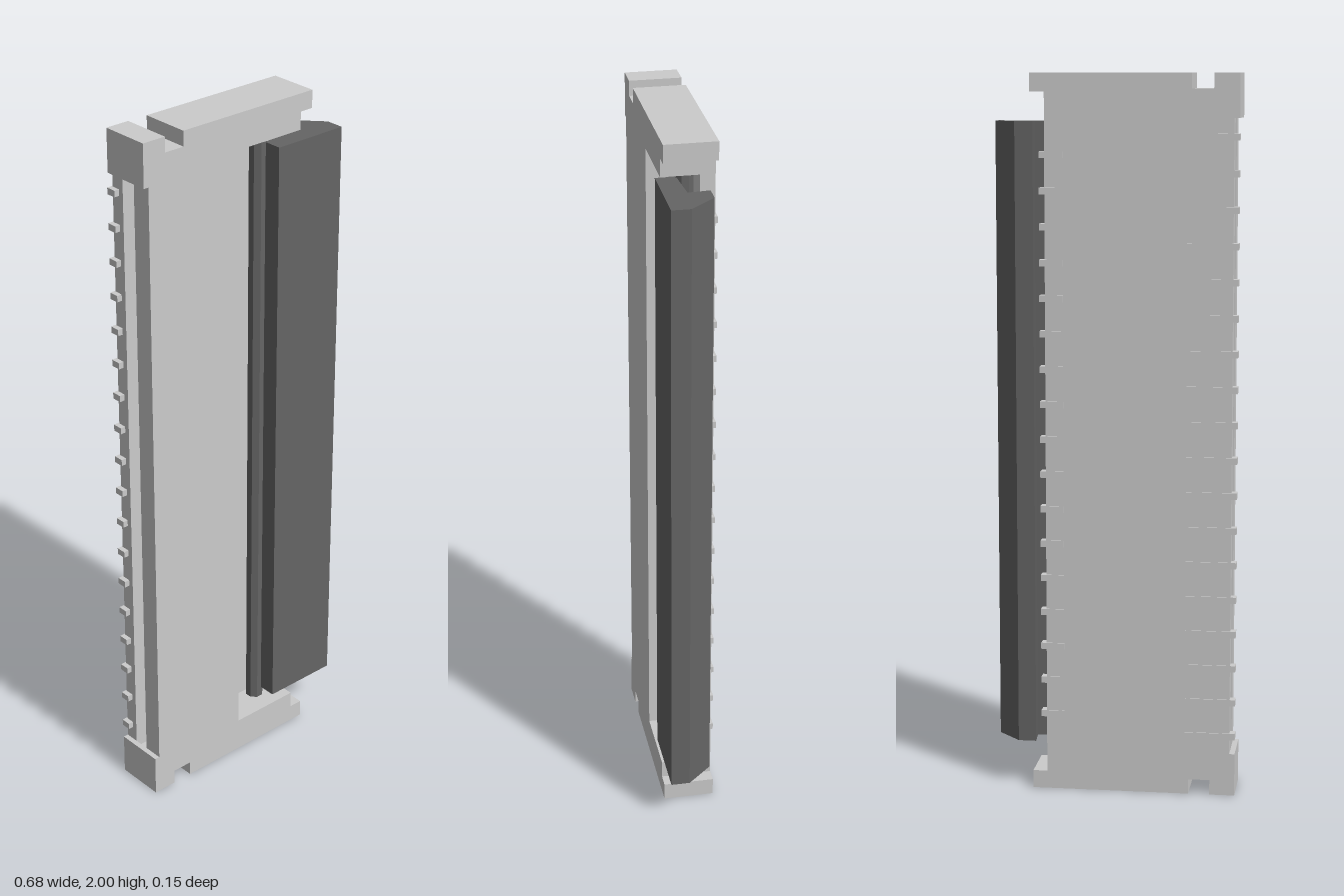
import * as THREE from 'three';

const BACK = -0.07, FRONT = 0.0725;
const PITCH = 0.0976;

export function createModel() {
  const model = new THREE.Group();
  const grey = new THREE.MeshStandardMaterial({ color: 0xcccccc, flatShading: true });
  const dark = new THREE.MeshStandardMaterial({ color: 0x656565, flatShading: true });

  const add = (name, geometry, material = grey, parent = model) => {
    const mesh = new THREE.Mesh(geometry, material);
    mesh.name = name;
    parent.add(mesh);
    return mesh;
  };
  // Box given by its two corners
  const box = (x0, x1, y0, y1, z0, z1) =>
    new THREE.BoxGeometry(x1 - x0, y1 - y0, z1 - z0)
      .translate((x0 + x1) / 2, (y0 + y1) / 2, (z0 + z1) / 2);
  const prism = (points, depth) =>
    new THREE.ExtrudeGeometry(new THREE.Shape(points.map(p => new THREE.Vector2(...p))),
      { depth, bevelEnabled: false });

  // Housing: back plate and front lip with an open slot between them
  add('backPlate', box(-0.325, 0.19, 0.1, 1.9, BACK, -0.03));
  add('frontLip', box(-0.325, -0.02, 0.1, 1.9, 0.015, FRONT));

  // Notched end blocks, the upper one mirrored from the lower
  const endOutline = [
    [-0.34, 0], [-0.27, 0], [-0.27, 0.042], [-0.21, 0.042], [-0.21, 0], [0.23, 0],
    [0.23, 0.05], [0.19, 0.05], [0.19, 0.1], [-0.325, 0.1], [-0.325, 0.12], [-0.34, 0.12],
  ];
  for (const [name, flip] of [['lowerEndBlock', false], ['upperEndBlock', true]]) {
    const points = endOutline.map(([x, y]) => [x, flip ? 2 - y : y]);
    add(name, prism(points, FRONT - BACK).translate(0, 0, BACK));
  }

  // Two staggered rows of contacts in the back plate
  const contacts = new THREE.Group();
  contacts.name = 'contacts';
  model.add(contacts);
  const row = (name, count, x0, x1) => {
    for (let i = 0; i < count; i++) {
      const y = 1 + (i - (count - 1) / 2) * PITCH;
      add(name, box(x0, x1, y - 0.009, y + 0.009, -0.0735, -0.045), grey, contacts);
    }
  };
  row('outerContact', 18, -0.34, -0.2);
  row('innerContact', 17, 0.14, 0.205);

  // Hinged locking flap: thin arm over the plate, thick chamfered bar outside
  const flap = new THREE.Group();
  flap.name = 'lockingFlap';
  model.add(flap);
  const section = [
    [0.115, FRONT], [0.115, 0.018], [0.23, 0.01], [0.225, -0.05],
    [0.275, -0.05], [0.34, 0.02], [0.34, FRONT],
  ];
  // Drawn in x and -z, then stood upright
  add('flapBar', prism(section.map(([x, z]) => [x, -z]), 1.74)
    .rotateX(-Math.PI / 2).translate(0, 0.13, 0), dark, flap);

  // Hinge shaft between the end blocks
  add('hingeShaft', new THREE.CylinderGeometry(0.026, 0.026, 1.8, 8)
    .rotateY(Math.PI / 8).translate(0.11, 1, -0.003), dark, flap);

  return model;
}
